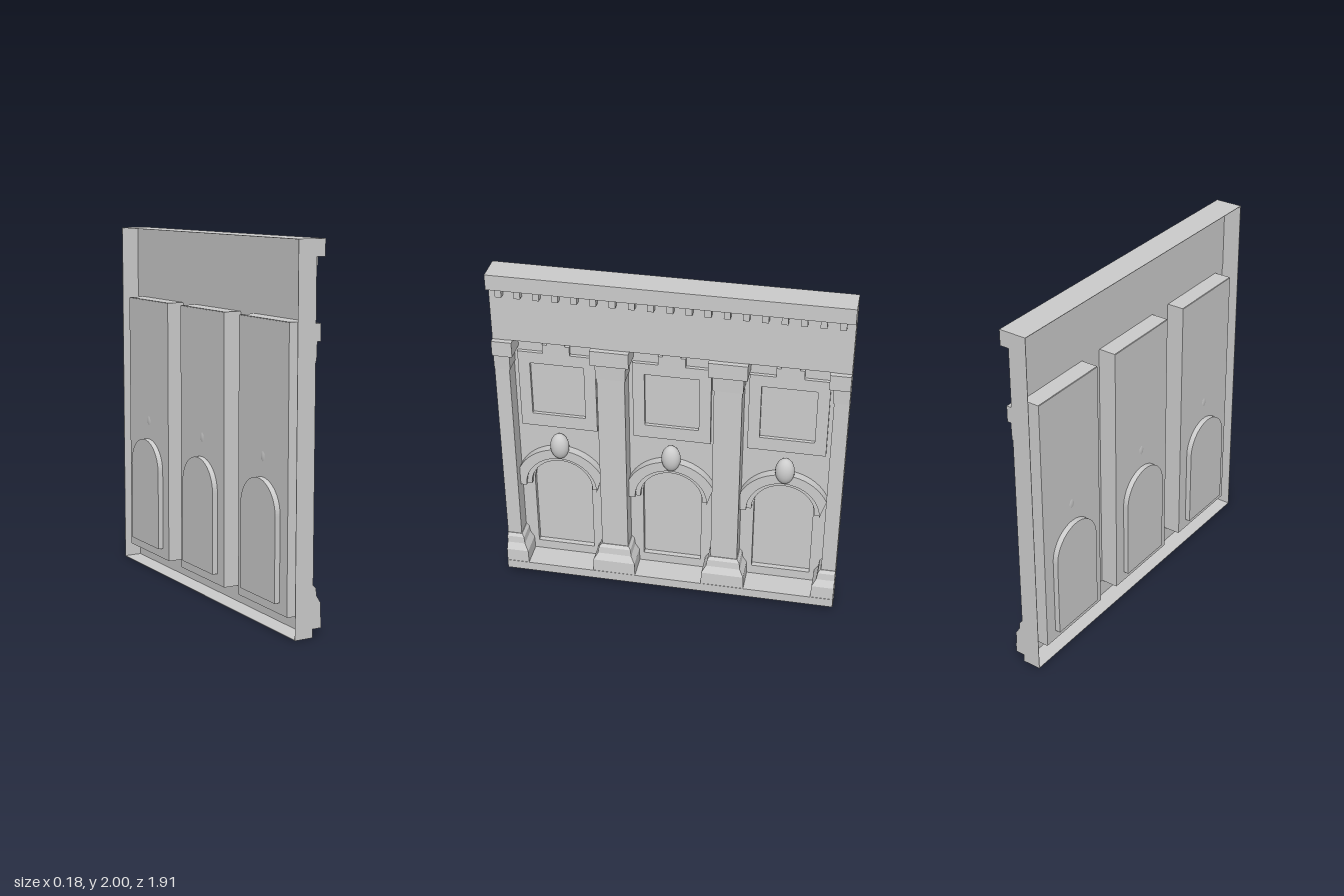
import * as THREE from 'three';

const BACK = -0.07, FRONT = 0.035, WALL = -0.064, DOOR = -0.094;
const HALF = 0.957, PITCH = 0.634, BAY = 0.241;

export function createModel() {
  const model = new THREE.Group();
  model.name = 'arcadeFacade';
  const stone = new THREE.MeshStandardMaterial({ color: 0xcccccc, side: THREE.DoubleSide });
  stone.name = 'stone';

  const add = (name, geometry, parent = model) => {
    const mesh = new THREE.Mesh(geometry, stone);
    mesh.name = name;
    parent.add(mesh);
    return mesh;
  };
  // Box given by its limits on each axis
  const box = (name, x0, x1, y0, y1, z0, z1, parent) => {
    const g = new THREE.BoxGeometry(x1 - x0, y1 - y0, z1 - z0);
    g.translate((x0 + x1) / 2, (y0 + y1) / 2, (z0 + z1) / 2);
    return add(name, g, parent);
  };
  // Outline drawn in the facade plane, extruded from x0 to x1
  const plate = (name, shape, x0, x1, parent) => {
    const g = new THREE.ExtrudeGeometry(shape, { depth: x1 - x0, bevelEnabled: false, curveSegments: 20 });
    g.translate(0, 0, x0);
    g.rotateY(Math.PI / 2);
    return add(name, g, parent);
  };
  // Three-sided pier swept up through rows of [height, projection]
  const pier = (name, z0, z1, rows, parent) => {
    const ring = ([y, d]) => {
      const a = z0 <= -HALF ? z0 : z0 - d, b = z1 >= HALF ? z1 : z1 + d;
      return [[WALL, y, b], [FRONT + d, y, b], [FRONT + d, y, a], [WALL, y, a]];
    };
    const pos = [];
    for (let i = 0; i < rows.length - 1; i++) {
      const lo = ring(rows[i]), hi = ring(rows[i + 1]);
      for (let k = 0; k < 3; k++) {
        pos.push(...lo[k], ...lo[k + 1], ...hi[k + 1], ...lo[k], ...hi[k + 1], ...hi[k]);
      }
    }
    const g = new THREE.BufferGeometry();
    g.setAttribute('position', new THREE.Float32BufferAttribute(pos, 3));
    g.computeVertexNormals();
    return add(name, g, parent);
  };
  const polygon = (points) => new THREE.Shape(points.map(([x, y]) => new THREE.Vector2(x, y)));
  const rect = (w, y0, y1) => polygon([[-w, y0], [w, y0], [w, y1], [-w, y1]]);
  const doorOutline = (r) => {
    const s = new THREE.Shape();
    s.moveTo(-r, 0.157);
    s.lineTo(r, 0.157);
    s.lineTo(r, 0.61);
    s.absarc(0, 0.61, r, 0, Math.PI, false);
    s.closePath();
    return s;
  };
  // Arched band, its outside trimmed to the bay width
  const archBand = (inner, outer, limit) => {
    const s = new THREE.Shape(), t = Math.acos(Math.min(1, limit / outer));
    s.moveTo(Math.min(limit, outer), 0.595);
    s.absarc(0, 0.6, outer, t, Math.PI - t, false);
    s.lineTo(-Math.min(limit, outer), 0.595);
    s.lineTo(-inner, 0.595);
    s.absarc(0, 0.6, inner, Math.PI, 0, true);
    s.lineTo(inner, 0.595);
    s.closePath();
    return s;
  };

  // Hollow shell, open at the back
  const T = 0.003;
  box('topSlab', BACK, FRONT, 2 - T, 2, -HALF, HALF);
  box('bottomSlab', BACK, FRONT, 0, T, -HALF, HALF);
  for (const s of [-1, 1]) {
    const a = s * HALF, b = s * (HALF - T);
    box('endWall', BACK, FRONT, 0, 2, Math.min(a, b), Math.max(a, b));
  }
  box('frieze', FRONT - T, FRONT, 1.59, 2, -HALF, HALF);
  box('plinth', FRONT - T, FRONT, 0, 0.1, -HALF, HALF);
  box('ledge', FRONT, 0.085, 0.045, 0.1, -HALF, HALF);

  // Cornice with dentils
  box('cornice', FRONT, 0.085, 1.913, 2, -HALF, HALF);
  for (let i = -9; i <= 9; i++) {
    const z = i * 0.0995 - 0.012 + 0.012 * Math.abs(i) / 9;
    box('dentil', FRONT, 0.071, 1.866, 1.913, z - 0.017, z + 0.017);
  }

  // Pilasters with bases, necks and capitals
  const e = PITCH + BAY;
  for (const [z0, z1] of [[-HALF, -e], [BAY - PITCH, -BAY], [BAY, PITCH - BAY], [e, HALF]]) {
    const pilaster = new THREE.Group();
    pilaster.name = 'pilaster';
    model.add(pilaster);
    pier('shaft', z0, z1, [[0.1, 0], [1.59, 0]], pilaster);
    pier('base', z0, z1, [[0.1, 0.048], [0.178, 0.045], [0.215, 0.022], [0.255, 0.017], [0.272, 0.003], [0.272, 0]], pilaster);
    pier('neck', z0, z1, [[1.405, 0], [1.405, 0.005], [1.5, 0.008]], pilaster);
    pier('capital', z0, z1, [[1.5, 0], [1.5, 0.029], [1.589, 0.029], [1.589, 0]], pilaster);
  }

  // Three recessed bays
  for (const i of [-1, 0, 1]) {
    const bay = new THREE.Group();
    bay.name = 'bay';
    bay.position.z = i * PITCH;
    model.add(bay);

    const wall = rect(BAY, 0.1, 1.59);
    wall.holes.push(doorOutline(0.167));
    plate('bayWall', wall, WALL - T, WALL, bay);
    box('baySoffit', WALL, FRONT, 1.59, 1.59 + T, -BAY, BAY, bay);
    box('bayFloor', WALL, FRONT, 0.1 - T, 0.1, -BAY, BAY, bay);

    // Sunken arched door
    const reveal = doorOutline(0.17);
    reveal.holes.push(doorOutline(0.167));
    plate('doorReveal', reveal, DOOR, WALL - T, bay);
    plate('door', doorOutline(0.17), DOOR - T, DOOR, bay);

    // Two-step arch moulding and its egg-shaped keystone
    plate('innerArch', archBand(0.178, 0.207, 0.24), WALL, WALL + 0.03, bay);
    plate('outerArch', archBand(0.205, 0.265, 0.24), WALL, WALL + 0.05, bay);
    const egg = new THREE.SphereGeometry(1, 20, 14);
    egg.scale(0.045, 0.081, 0.054);
    egg.translate(-0.025, 0.888, 0);
    add('keystone', egg, bay);

    // Stepped window surround
    const surround = polygon([[-0.215, 1.0], [0.215, 1.0], [0.215, 1.477], [0.075, 1.477], [0.075, 1.53],
      [0.05, 1.53], [0.05, 1.557], [-0.05, 1.557], [-0.05, 1.53], [-0.075, 1.53], [-0.075, 1.477], [-0.215, 1.477]]);
    surround.holes.push(rect(0.15, 1.08, 1.408));
    plate('windowSurround', surround, WALL, WALL + 0.02, bay);
  }
  return model;
}
